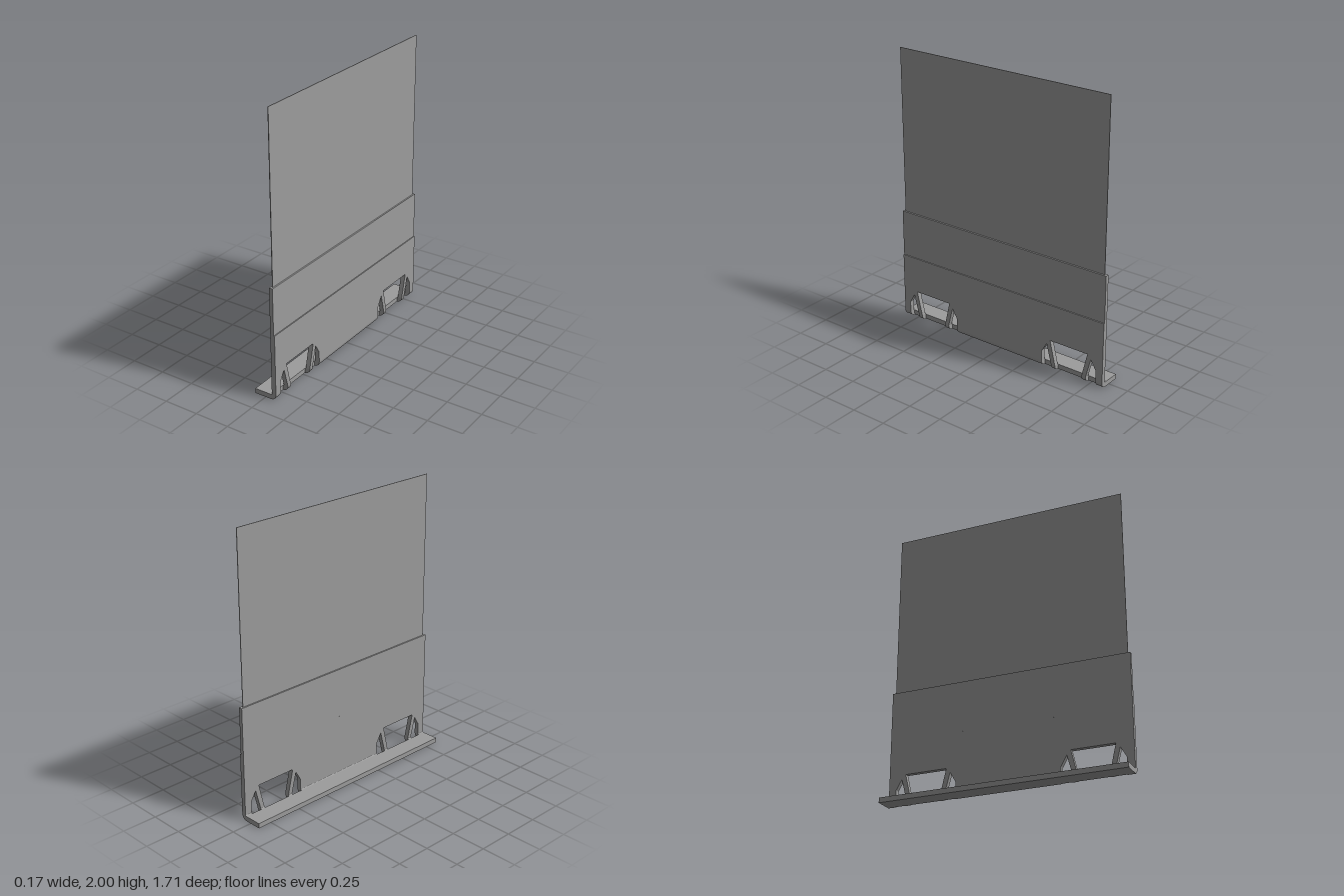
import * as THREE from 'three';
import { toCreasedNormals } from 'three/addons/utils/BufferGeometryUtils.js';

const HALF = 0.853;         // half length along z
const INNER = 0.05;         // inner face of the wall
const OUTER = 0.083;        // outer face of the lower wall
const BEND_X = 0.043;       // where the foot turns into the bend
const BEND_Y = 0.041;       // where the bend turns into the wall
const FOOT_T = 0.035;
const CENTRES = [-0.584, 0.584]; // middle of each group of openings

export function createModel() {
  const group = new THREE.Group();
  const material = new THREE.MeshStandardMaterial({ color: 0x9c9c9c });

  const add = (name, geometry, x = 0, y = 0, z = 0) => {
    const mesh = new THREE.Mesh(geometry, material);
    mesh.name = name;
    mesh.position.set(x, y, z);
    group.add(mesh);
    return mesh;
  };
  const box = (name, x0, x1, y0, y1, half) =>
    add(name, new THREE.BoxGeometry(x1 - x0, y1 - y0, half * 2), (x0 + x1) / 2, (y0 + y1) / 2);

  // Lower wall: outline in z and y, notched from below by the openings
  const wall = new THREE.Shape();
  wall.moveTo(-HALF, BEND_Y);
  for (const c of CENTRES) {
    const notches = [
      [[-0.217, BEND_Y], [-0.217, 0.118], [-0.177, 0.187], [-0.139, BEND_Y]],
      [[-0.107, BEND_Y], [-0.149, 0.218], [0.149, 0.218], [0.107, BEND_Y]],
      [[0.139, BEND_Y], [0.177, 0.187], [0.217, 0.118], [0.217, BEND_Y]],
    ];
    for (const notch of notches) for (const [z, y] of notch) wall.lineTo(c + z, y);
  }
  wall.lineTo(HALF, BEND_Y);
  wall.lineTo(HALF, 0.48);
  wall.lineTo(-HALF, 0.48);
  wall.closePath();
  const wallGeometry = new THREE.ExtrudeGeometry(wall, { depth: OUTER - INNER, bevelEnabled: false });
  wallGeometry.rotateY(-Math.PI / 2);
  add('lowerWall', wallGeometry, OUTER);

  // Upper wall, thin sheet and foot
  box('upperWall', INNER, 0.076, 0.48, 0.815, HALF);
  box('sheet', 0.06, 0.065, 0.815, 2, 0.835);
  box('foot', -0.083, BEND_X, 0, FOOT_T, HALF);

  // Rounded bend, interrupted wherever an opening runs through it
  const bend = new THREE.Shape();
  bend.moveTo(BEND_X, 0);
  bend.absellipse(BEND_X, BEND_Y, OUTER - BEND_X, BEND_Y, -Math.PI / 2, 0, false);
  bend.lineTo(INNER, BEND_Y);
  bend.absellipse(BEND_X, BEND_Y, INNER - BEND_X, BEND_Y - FOOT_T, 0, -Math.PI / 2, true);
  bend.closePath();
  const cuts = CENTRES.flatMap((c) => [-0.217, -0.139, -0.107, 0.107, 0.139, 0.217].map((d) => c + d));
  const stops = [-HALF, ...cuts, HALF];
  for (let i = 0; i < stops.length; i += 2) {
    const geometry = new THREE.ExtrudeGeometry(bend, {
      depth: stops[i + 1] - stops[i], bevelEnabled: false, curveSegments: 10,
    });
    add('bend', toCreasedNormals(geometry, 0.5), 0, 0, stops[i]);
  }

  // Small flush pins on the inner face
  for (let i = -2; i <= 2; i++) {
    const pin = add('pin', new THREE.CylinderGeometry(0.006, 0.006, 0.004, 12), INNER + 0.001, 0.46, i * 0.325);
    pin.rotation.z = Math.PI / 2;
  }
  return group;
}
